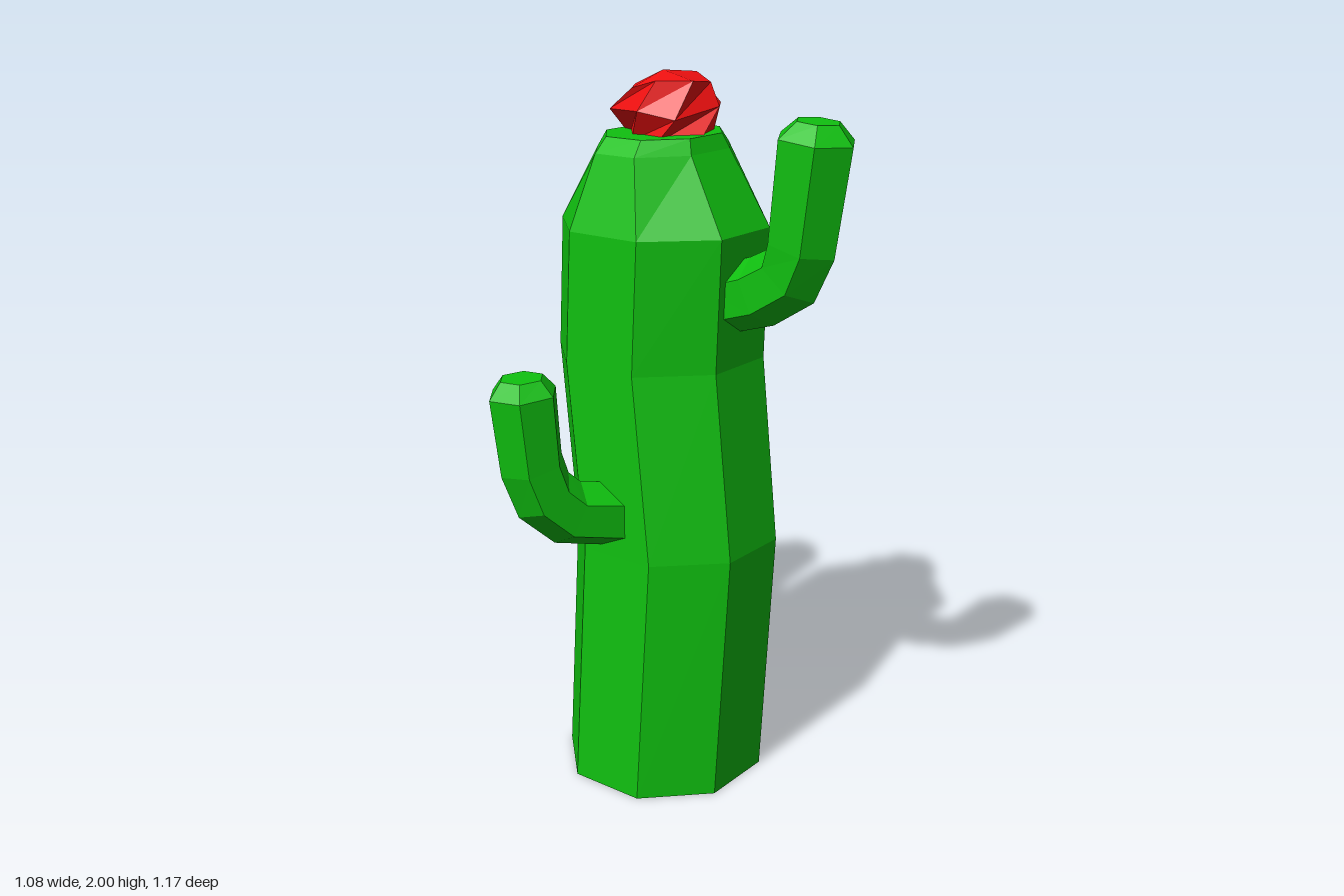
import * as THREE from 'three';

const green = new THREE.MeshStandardMaterial({ color: 0x10c010, flatShading: true });
const red = new THREE.MeshStandardMaterial({ color: 0xf01010, flatShading: true });

// Skin a stack of equal-sized rings (counter-clockwise seen from the tip) and close both ends
function loft(rings, name, material, peak) {
  const n = rings[0].length;
  const verts = [], index = [];
  rings.forEach((ring) => ring.forEach((v) => verts.push(v)));
  for (let i = 0; i < rings.length - 1; i++) {
    for (let j = 0; j < n; j++) {
      const a = i * n + j, b = i * n + (j + 1) % n;
      index.push(a, b, b + n, a, b + n, a + n);
    }
  }
  const centre = (ring) => ring.reduce((s, v) => s.add(v), new THREE.Vector3()).divideScalar(n);
  const last = (rings.length - 1) * n;
  const bottom = verts.push(centre(rings[0])) - 1;
  const top = verts.push(peak || centre(rings[rings.length - 1])) - 1;
  for (let j = 0; j < n; j++) {
    const k = (j + 1) % n;
    index.push(bottom, k, j, top, last + j, last + k);
  }
  const indexed = new THREE.BufferGeometry().setFromPoints(verts);
  indexed.setIndex(index);
  const geometry = indexed.toNonIndexed();
  geometry.computeVertexNormals();
  const mesh = new THREE.Mesh(geometry, material);
  mesh.name = name;
  return mesh;
}

// Octagonal trunk, swaying slightly; rows are y, centre x, centre z, radius x, radius z
function makeTrunk() {
  const rows = [
    [0, 0.01, 0.003, 0.292, 0.29],
    [0.72, 0.015, 0.04, 0.288, 0.292],
    [1.24, 0.015, -0.015, 0.288, 0.292],
    [1.6, 0.01, 0.003, 0.283, 0.29],
    [1.8, 0.01, 0, 0.222, 0.168],
    [1.84, 0.012, 0, 0.185, 0.15],
  ];
  const rings = rows.map(([y, cx, cz, rx, rz]) => Array.from({ length: 8 }, (_, j) => {
    const a = (j + 0.5) * Math.PI / 4;
    return new THREE.Vector3(cx + rx * Math.cos(a), y, cz - rz * Math.sin(a));
  }));
  rings[0][7].y = 0.07; // chipped foot corner
  return loft(rings, 'trunk', green);
}

// Hexagonal arm bending upward; path rows are distance outward, y, radius
function makeArm(name, x, z, dx, dz, path) {
  const up = new THREE.Vector3(0, 1, 0);
  const out = new THREE.Vector3(dx, 0, dz).normalize();
  const side = up.clone().cross(out);
  const pts = path.map(([u, y]) => new THREE.Vector3(x, y, z).addScaledVector(out, u));
  const rings = pts.map((p, i) => {
    const before = p.clone().sub(pts[Math.max(i - 1, 0)]).normalize();
    const after = pts[Math.min(i + 1, pts.length - 1)].clone().sub(p).normalize();
    const tangent = before.add(after).normalize();
    const normal = side.clone().cross(tangent);
    return Array.from({ length: 6 }, (_, j) => {
      const a = j * Math.PI / 3;
      return p.clone()
        .addScaledVector(normal, path[i][2] * Math.cos(a))
        .addScaledVector(side, path[i][2] * Math.sin(a));
    });
  });
  return loft(rings, name, green);
}

// Crumpled, faceted bloom
function makeFlower(name, x, y, z, radius, height, seed) {
  let s = seed;
  const jitter = (amount) => {
    s = (s * 16807) % 2147483647;
    return (s / 2147483647 - 0.5) * amount;
  };
  const rows = [[0, 0.78], [0.45, 1], [0.86, 0.72]];
  const rings = rows.map(([h, r], i) => Array.from({ length: 7 }, (_, j) => {
    const a = (j + i * 0.5) * Math.PI * 2 / 7 + jitter(0.3);
    const k = radius * (r + jitter(0.14));
    return new THREE.Vector3(
      x + k * Math.cos(a), y + height * (h + (i ? jitter(0.2) : 0)), z - k * Math.sin(a));
  }));
  const peak = new THREE.Vector3(x - radius * 0.15, y + height, z);
  return loft(rings, name, red, peak);
}

export function createModel() {
  const model = new THREE.Group();
  model.name = 'cactus';
  model.add(
    makeTrunk(),
    makeArm('frontArm', 0.008, 0.2, 0, 1, [
      [0, 1.415, 0.092], [0.125, 1.455, 0.094], [0.213, 1.508, 0.094],
      [0.245, 1.59, 0.099], [0.278, 1.86, 0.107], [0.282, 1.905, 0.06],
    ]),
    makeArm('rightArm', -0.2, 0.005, -0.255, -0.105, [
      [0, 0.825, 0.092], [0.153, 0.857, 0.09], [0.223, 0.92, 0.09],
      [0.256, 1.01, 0.09], [0.276, 1.21, 0.095], [0.278, 1.252, 0.06],
    ]),
    makeArm('leftArm', 0.17, -0.18, 0.24, -0.28, [
      [0, 0.72, 0.112], [0.165, 0.775, 0.115], [0.295, 0.865, 0.118],
      [0.343, 0.955, 0.122], [0.369, 1.29, 0.128], [0.37, 1.338, 0.075],
    ]),
    makeFlower('topFlower', 0.03, 1.82, 0, 0.148, 0.18, 77),
    makeFlower('armFlower', 0.405, 1.325, -0.457, 0.086, 0.1, 4242),
  );
  return model;
}
